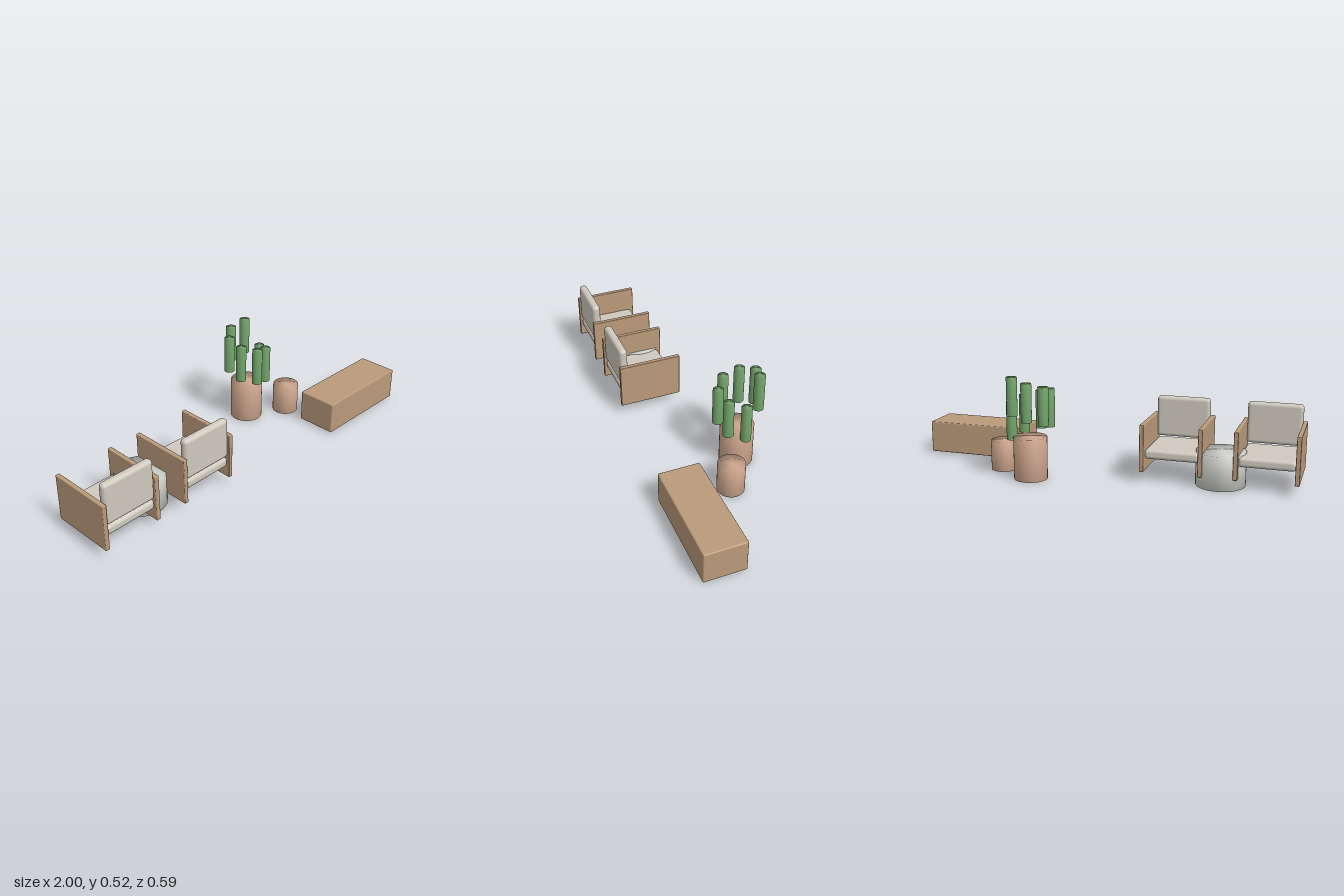
import * as THREE from 'three';
import { mergeVertices } from 'three/addons/utils/BufferGeometryUtils.js';
import { RoundedBoxGeometry } from 'three/addons/geometries/RoundedBoxGeometry.js';

const paint = (color) => new THREE.MeshStandardMaterial({ color });
const wood = paint(0xba9a7a);
const fabric = paint(0xcfc9be);
const stone = paint(0xcfcfca);
const clay = paint(0xcfa78f);
const green = paint(0x74a66c);

// Rounded box given by its min and max on each axis
function block(name, [x0, x1], [y0, y1], [z0, z1], radius, material) {
  const geometry = new RoundedBoxGeometry(x1 - x0, y1 - y0, z1 - z0, 4, radius);
  const mesh = new THREE.Mesh(geometry, material);
  mesh.position.set((x0 + x1) / 2, (y0 + y1) / 2, (z0 + z1) / 2);
  mesh.name = name;
  return mesh;
}

// Closed cylinder standing on y, softly shaded across its rims
function drum(name, radius, height, x, y, z, material) {
  let geometry = new THREE.CylinderGeometry(radius, radius, height, 32);
  geometry.deleteAttribute('normal');
  geometry.deleteAttribute('uv');
  geometry = mergeVertices(geometry);
  geometry.computeVertexNormals();
  const mesh = new THREE.Mesh(geometry, material);
  mesh.position.set(x, y + height / 2, z);
  mesh.name = name;
  return mesh;
}

// Armchair: two wooden side panels carrying a seat and a back cushion
function armchair(name, x) {
  const chair = new THREE.Group();
  chair.name = name;
  for (const [side, s] of [['left', 1], ['right', -1]]) {
    const panel = block(side + 'SidePanel', [-0.011, 0.011], [0.056, 0.293], [-0.088, 0.238], 0.004, wood);
    panel.position.x = s * 0.145;
    chair.add(panel);
  }
  chair.add(
    block('seat', [-0.136, 0.136], [0.117, 0.167], [-0.068, 0.228], 0.018, fabric),
    block('backCushion', [-0.136, 0.136], [0.174, 0.383], [0.188, 0.231], 0.018, fabric)
  );
  chair.position.x = x;
  return chair;
}

export function createModel() {
  const model = new THREE.Group();
  model.name = 'loungeSet';

  // Seating around a round table
  model.add(armchair('rightArmchair', -0.844), armchair('leftArmchair', -0.384));
  model.add(drum('roundTable', 0.123, 0.171, -0.614, 0, 0.016, stone));

  // Bench
  model.add(block('bench', [0.46, 1.0], [0.01, 0.178], [0.086, 0.295], 0.006, wood));

  // Planters
  model.add(drum('largePlanter', 0.084, 0.215, 0.306, 0, -0.175, clay));
  model.add(drum('smallPlanter', 0.068, 0.154, 0.499, 0, -0.061, clay));

  // Ring of stems, each a step higher than the last
  const plant = new THREE.Group();
  plant.name = 'plant';
  for (let i = 0; i < 7; i++) {
    const a = (i / 7) * Math.PI * 2;
    plant.add(drum('stem' + (i + 1), 0.0265, 0.192,
      0.306 + 0.0975 * Math.cos(a), 0.193 + 0.0232 * i, -0.175 + 0.0975 * Math.sin(a), green));
  }
  model.add(plant);

  return model;
}
